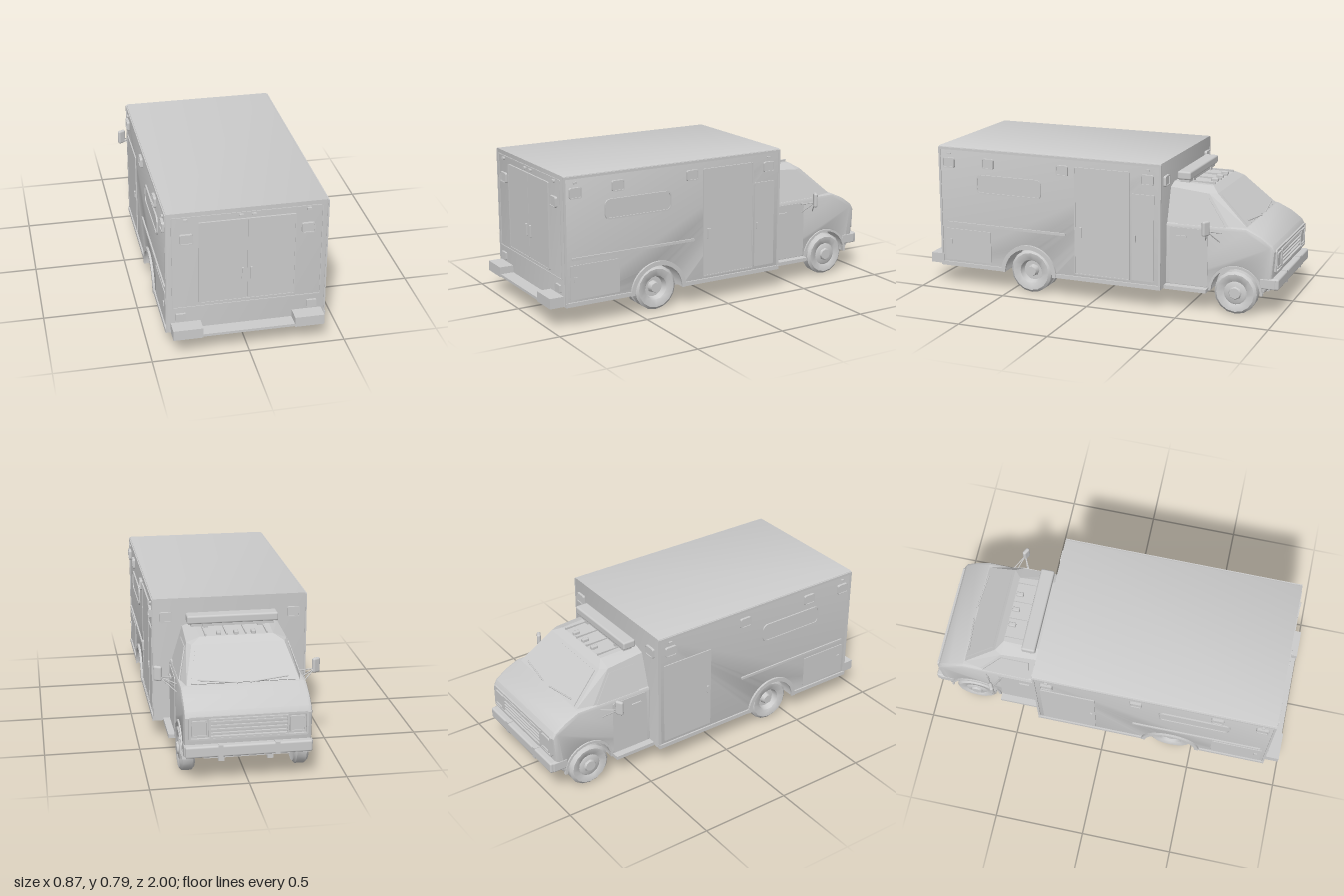
import * as THREE from 'three';
import { toCreasedNormals } from 'three/addons/utils/BufferGeometryUtils.js';
import { RoundedBoxGeometry } from 'three/addons/geometries/RoundedBoxGeometry.js';
import { ConvexGeometry } from 'three/addons/geometries/ConvexGeometry.js';

const V = (x, y, z) => new THREE.Vector3(x, y, z);

export function createModel() {
  const root = new THREE.Group();
  root.name = 'ambulance';
  const mat = new THREE.MeshStandardMaterial({ color: 0xcccccc });

  const add = (name, geo) => {
    const m = new THREE.Mesh(geo, mat);
    m.name = name;
    root.add(m);
    return m;
  };
  // Reflect a geometry across x = 0 and restore its winding
  const mirrored = (geo) => {
    const g = geo.index ? geo.toNonIndexed() : geo.clone();
    g.scale(-1, 1, 1);
    for (const a of Object.values(g.attributes)) {
      const n = a.itemSize, d = a.array;
      for (let i = 0; i < a.count; i += 3)
        for (let k = 0; k < n; k++) {
          const p = (i + 1) * n + k, q = (i + 2) * n + k;
          [d[p], d[q]] = [d[q], d[p]];
        }
    }
    return g;
  };
  const pair = (name, geo) => { add(name + 'Left', geo); add(name + 'Right', mirrored(geo)); };
  const box = (x0, x1, y0, y1, z0, z1) =>
    new THREE.BoxGeometry(x1 - x0, y1 - y0, z1 - z0).translate((x0 + x1) / 2, (y0 + y1) / 2, (z0 + z1) / 2);
  const rod = (r, ...pts) => new THREE.TubeGeometry(
    pts.length > 2 ? new THREE.CatmullRomCurve3(pts) : new THREE.LineCurve3(...pts), pts.length > 2 ? 12 : 1, r, 8);
  const rounded = (w, h, r, Kind = THREE.Shape) => {
    const s = new Kind(), x = w / 2, y = h / 2;
    s.moveTo(-x + r, -y);
    s.lineTo(x - r, -y).absarc(x - r, -y + r, r, -Math.PI / 2, 0);
    s.lineTo(x, y - r).absarc(x - r, y - r, r, 0, Math.PI / 2);
    s.lineTo(-x + r, y).absarc(-x + r, y - r, r, Math.PI / 2, Math.PI);
    s.lineTo(-x, -y + r).absarc(-x + r, -y + r, r, Math.PI, 1.5 * Math.PI);
    return s;
  };
  const slab = (shape, depth) => new THREE.ExtrudeGeometry(shape, { depth, bevelEnabled: false, curveSegments: 6 });
  const panel = (w, h, d, r = 0.004) => slab(rounded(w, h, r), d);
  const frame = (w, h, t, d, r) => {
    const s = rounded(w, h, r);
    s.holes.push(rounded(w - 2 * t, h - 2 * t, Math.max(r - t, 0.002), THREE.Path));
    return slab(s, d);
  };
  const SIDE = 0.408, BACK = 0.92, BULK = -0.385;
  const onSide = (g, z, y, x = SIDE) => g.rotateY(Math.PI / 2).translate(x, y, z);
  const onBack = (g, x, y) => g.translate(x, y, BACK);
  const onFront = (g, x, y, z) => g.rotateY(Math.PI).translate(x, y, z);
  const onPlane = (g, o, u, v) => {
    u.normalize(); v.normalize();
    return g.applyMatrix4(new THREE.Matrix4().makeBasis(u, v, u.clone().cross(v)).setPosition(o));
  };
  // Side outline (z, y) spread symmetrically across the width
  const body = (shape, half, bevel) => toCreasedNormals(new THREE.ExtrudeGeometry(shape, {
    depth: 2 * (half - bevel), bevelThickness: bevel, bevelSize: bevel, bevelOffset: -bevel,
    bevelSegments: 2, curveSegments: 16,
  }).translate(0, 0, -(half - bevel)).rotateY(-Math.PI / 2), 0.5);

  // Patient compartment with wheel arches
  const rear = new THREE.Shape();
  rear.moveTo(BACK, 0.11).lineTo(BACK, 0.79).lineTo(BULK, 0.79).lineTo(BULK, 0.11).lineTo(0.235, 0.11);
  rear.absarc(0.38, 0.11, 0.145, Math.PI, 0, true);
  add('patientCompartment', body(rear, SIDE, 0.008));
  add('compartmentFloor', box(-0.235, 0.235, 0.112, 0.3, 0.2, 0.56));
  pair('wheelWellWall', box(0.232, 0.238, 0.11, 0.28, 0.22, 0.54));

  // Corner and lower trim
  for (const z of [0.914, -0.379]) pair('cornerTrim', box(0.405, 0.413, 0.11, 0.785, z - 0.006, z + 0.006));
  pair('roofTrim', box(0.405, 0.413, 0.772, 0.785, BULK, BACK));
  pair('rearSkirtTrim', box(0.4, 0.417, 0.11, 0.132, 0.545, BACK));
  pair('frontSkirtTrim', box(0.4, 0.417, 0.11, 0.132, BULK, 0.22));
  const flare = new THREE.Shape();
  flare.absarc(0, 0, 0.165, 0, Math.PI, false).absarc(0, 0, 0.142, Math.PI, 0, true);
  pair('wheelArchFlare', onSide(new THREE.ExtrudeGeometry(flare,
    { depth: 0.012, bevelEnabled: false, curveSegments: 16 }), 0.38, 0.11));

  // Side windows, lockers, mouldings and lamps
  pair('sideWindowFrame', onSide(frame(0.39, 0.106, 0.008, 0.008, 0.03), 0.495, 0.592));
  pair('sideWindow', onSide(panel(0.374, 0.09, 0.003, 0.022), 0.495, 0.592));
  pair('rearLocker', onSide(panel(0.28, 0.18, 0.005), 0.75, 0.235));
  pair('rearLockerLatch', onSide(panel(0.02, 0.03, 0.01), 0.86, 0.25));
  pair('sideMoulding', onSide(panel(0.72, 0.014, 0.008), 0.52, 0.358));
  const sideLamps = [[0.855, 0.7], [0.615, 0.71], [0.175, 0.71], [-0.31, 0.7]];
  const lamp = (place) => {
    pair('lampBezel', place(frame(0.068, 0.056, 0.006, 0.014, 0.01)));
    pair('lampLens', place(panel(0.058, 0.046, 0.009, 0.006)));
  };
  for (const [z, y] of sideLamps) lamp((g) => onSide(g, z, y));
  for (const z of [0.855, -0.31]) pair('sideMarker', onSide(panel(0.02, 0.01, 0.01, 0.003), z, 0.752));

  // Doors: side entry and front locker on the +x side, wide locker on the other
  add('sideEntryDoor', onSide(panel(0.305, 0.58, 0.005), -0.053, 0.44));
  add('sideEntryDoorFrame', onSide(frame(0.315, 0.59, 0.006, 0.008, 0.005), -0.053, 0.44));
  add('sideEntryDoorHandle', onSide(panel(0.02, 0.06, 0.016), 0.07, 0.38));
  add('frontLocker', onSide(panel(0.125, 0.47, 0.006), -0.285, 0.385));
  add('frontLockerHandle', onSide(panel(0.015, 0.04, 0.014), -0.24, 0.38));
  add('wideLocker', mirrored(onSide(panel(0.3, 0.47, 0.006), -0.2, 0.385)));
  add('wideLockerHandle', mirrored(onSide(panel(0.015, 0.04, 0.014), -0.07, 0.38)));

  // Back wall
  add('backFrame', onBack(frame(0.764, 0.518, 0.004, 0.004, 0.005), 0, 0.508));
  pair('backDoor', onBack(panel(0.239, 0.452, 0.006), 0.1215, 0.5));
  add('backDoorFrame', onBack(frame(0.492, 0.462, 0.005, 0.009, 0.005), 0, 0.5));
  pair('backDoorHandle', onBack(panel(0.012, 0.07, 0.016), 0.022, 0.42));
  lamp((g) => onBack(g, 0.308, 0.645));
  pair('tailLamp', onBack(panel(0.052, 0.042, 0.012), 0.338, 0.198));
  for (const x of [0.31, 0.032]) pair('clearanceLamp', onBack(panel(0.024, 0.013, 0.012), x, 0.751));
  pair('rearBumperEnd', box(0.237, 0.39, 0.11, 0.165, BACK, 0.998));
  add('rearStep', box(-0.237, 0.237, 0.112, 0.126, BACK, 0.993));

  // Cab lower body and hood
  const cab = new THREE.Shape();
  cab.moveTo(-0.37, 0.46).lineTo(-0.37, 0.115).lineTo(-0.635, 0.115);
  cab.absarc(-0.77, 0.115, 0.135, 0, Math.PI, false);
  cab.lineTo(-0.962, 0.17).lineTo(-0.976, 0.355).lineTo(-0.96, 0.385).lineTo(-0.9, 0.428).lineTo(-0.82, 0.465);
  add('cabBody', body(cab, 0.322, 0.018));
  add('cabFloor', box(-0.22, 0.22, 0.118, 0.3, -0.93, -0.6));
  const cabFlare = new THREE.Shape();
  cabFlare.absarc(0, 0, 0.147, 0, Math.PI, false).absarc(0, 0, 0.134, Math.PI, 0, true);
  pair('cabArchFlare', onSide(slab(cabFlare, 0.02), -0.77, 0.115, 0.308));

  // Cab upper part with glass
  const hull = [];
  for (const s of [-1, 1]) hull.push(
    V(s * 0.315, 0.44, -0.37), V(s * 0.315, 0.44, -0.74), V(s * 0.29, 0.458, -0.822),
    V(s * 0.24, 0.62, -0.64), V(s * 0.261, 0.62, -0.6), V(s * 0.255, 0.64, -0.37),
    V(s * 0.2, 0.658, -0.37), V(s * 0.19, 0.648, -0.6));
  add('cabUpper', new ConvexGeometry(hull));
  const poly = (...p) => new THREE.Shape(p.map(([x, y]) => new THREE.Vector2(x, y)));
  add('windscreen', onPlane(slab(poly([-0.265, 0.015], [0.265, 0.015], [0.222, 0.225], [-0.222, 0.225]), 0.005),
    V(0, 0.458, -0.822), V(-1, 0, 0), V(0, 0.162, 0.182)));
  pair('doorWindow', onPlane(slab(poly([0.06, 0.015], [0.325, 0.015], [0.215, 0.165], [0.06, 0.165]), 0.005),
    V(0.315, 0.44, -0.385), V(0, 0, -1), V(-0.06, 0.2, 0)));
  pair('cabDoor', onSide(panel(0.21, 0.31, 0.004, 0.01), -0.51, 0.285, 0.322));
  pair('cabDoorHandle', onSide(panel(0.06, 0.012, 0.014), -0.47, 0.392, 0.32));
  pair('wiper', rod(0.004, V(0.03, 0.472, -0.822), V(0.23, 0.488, -0.802)));

  // Light bar, roof ribs and marker lamps
  add('lightBar', new RoundedBoxGeometry(0.48, 0.045, 0.075, 2, 0.01).translate(0, 0.698, -0.45));
  add('lightBarBase', box(-0.22, 0.22, 0.66, 0.68, -0.475, -0.425));
  pair('lightBarBracket', box(0.13, 0.16, 0.64, 0.68, -0.48, -0.42));
  for (const x of [-0.16, -0.05, 0.05, 0.16]) add('roofRib', box(x - 0.004, x + 0.004, 0.645, 0.66, -0.6, -0.42));
  for (const x of [-0.09, 0, 0.09]) add('roofMarker', new RoundedBoxGeometry(0.024, 0.022, 0.04, 1, 0.006).translate(x, 0.655, -0.575));
  lamp((g) => onFront(g, 0.34, 0.69, BULK));

  // Door mirrors
  pair('mirrorHead', new RoundedBoxGeometry(0.045, 0.08, 0.022, 2, 0.01).rotateY(-0.5).translate(0.412, 0.472, -0.63));
  for (const [y, z] of [[0.43, -0.59], [0.38, -0.6], [0.38, -0.68], [0.43, -0.69]])
    pair('mirrorArm', rod(0.003, V(0.318, y, z), V(0.405, 0.455, -0.635)));

  // Nose: grille, headlamps and bumper
  add('grilleFrame', onFront(frame(0.6, 0.125, 0.01, 0.014, 0.012), 0, 0.3, -0.968));
  add('grilleSurround', onFront(frame(0.4, 0.1, 0.008, 0.018, 0.006), 0, 0.3, -0.968));
  for (let i = 0; i < 4; i++) add('grilleBar', box(-0.195, 0.195, 0.268 + i * 0.02, 0.275 + i * 0.02, -0.982, -0.96));
  pair('headlampBezel', onFront(frame(0.08, 0.085, 0.008, 0.018, 0.008), 0.246, 0.3, -0.967));
  pair('headlamp', onFront(panel(0.064, 0.069, 0.012, 0.006), 0.246, 0.3, -0.967));
  add('frontBumper', new RoundedBoxGeometry(0.64, 0.06, 0.05, 2, 0.01).translate(0, 0.182, -0.975));
  pair('frontBumperReturn', new RoundedBoxGeometry(0.02, 0.055, 0.085, 2, 0.006).translate(0.314, 0.182, -0.94));
  pair('bumperGuard', box(0.13, 0.155, 0.15, 0.215, -1, -0.97));

  // Running boards and underside
  pair('runningBoard', box(0.28, 0.36, 0.105, 0.125, -0.62, BULK));
  add('underfloor', box(-0.32, 0.32, 0.092, 0.118, -0.6, 0.22));
  pair('frameRail', box(0.11, 0.14, 0.085, 0.13, -0.9, 0.9));
  add('driveShaft', rod(0.014, V(0, 0.115, 0.36), V(0, 0.082, -0.5)));
  add('gearbox', box(-0.08, 0.08, 0.075, 0.13, -0.72, -0.48));
  add('rearAxle', rod(0.02, V(-0.33, 0.12, 0.38), V(0.33, 0.12, 0.38)));
  add('differential', new THREE.SphereGeometry(0.06, 12, 8).scale(1.1, 1, 0.9).translate(0, 0.12, 0.38));
  add('frontAxle', rod(0.018, V(-0.28, 0.115, -0.77), V(0.28, 0.115, -0.77)));
  add('exhaustPipe', rod(0.009, V(0.08, 0.09, -0.5), V(0.18, 0.085, -0.2), V(0.18, 0.085, 0.15), V(0.2, 0.1, 0.24)));
  add('muffler', new THREE.CylinderGeometry(0.022, 0.022, 0.12, 10).rotateX(Math.PI / 2).translate(0.18, 0.092, -0.15));

  // Wheels: tyre and rim turned from one profile, hub in the middle
  const wheel = (name, r, x0, x1, z, dish) => {
    const h = (x1 - x0) / 2;
    const profile = [[0, -h * 0.6], [r * 0.6, -h * 0.8], [r * 0.88, -h], [r, -h * 0.65], [r, h * 0.65],
      [r * 0.88, h], [r * 0.58, h * 0.9], [r * 0.54, h * 0.8], [r * 0.46, dish], [0, dish]];
    const g = new THREE.LatheGeometry(profile.map(([a, b]) => new THREE.Vector2(a, b)), 16);
    pair(name, toCreasedNormals(g.rotateZ(-Math.PI / 2).translate((x0 + x1) / 2, r, z), 0.6));
  };
  const hub = (name, r, x0, x1, y, z) => pair(name,
    new THREE.CylinderGeometry(r * 0.75, r, x1 - x0, 8).rotateZ(-Math.PI / 2).translate((x0 + x1) / 2, y, z));
  wheel('rearInnerWheel', 0.12, 0.245, 0.315, 0.38, 0.01);
  wheel('rearOuterWheel', 0.12, 0.32, 0.39, 0.38, -0.005);
  hub('rearHub', 0.035, 0.345, 0.38, 0.12, 0.38);
  wheel('frontWheel', 0.116, 0.255, 0.33, -0.77, 0.035);
  hub('frontHub', 0.04, 0.32, 0.338, 0.116, -0.77);

  return root;
}
